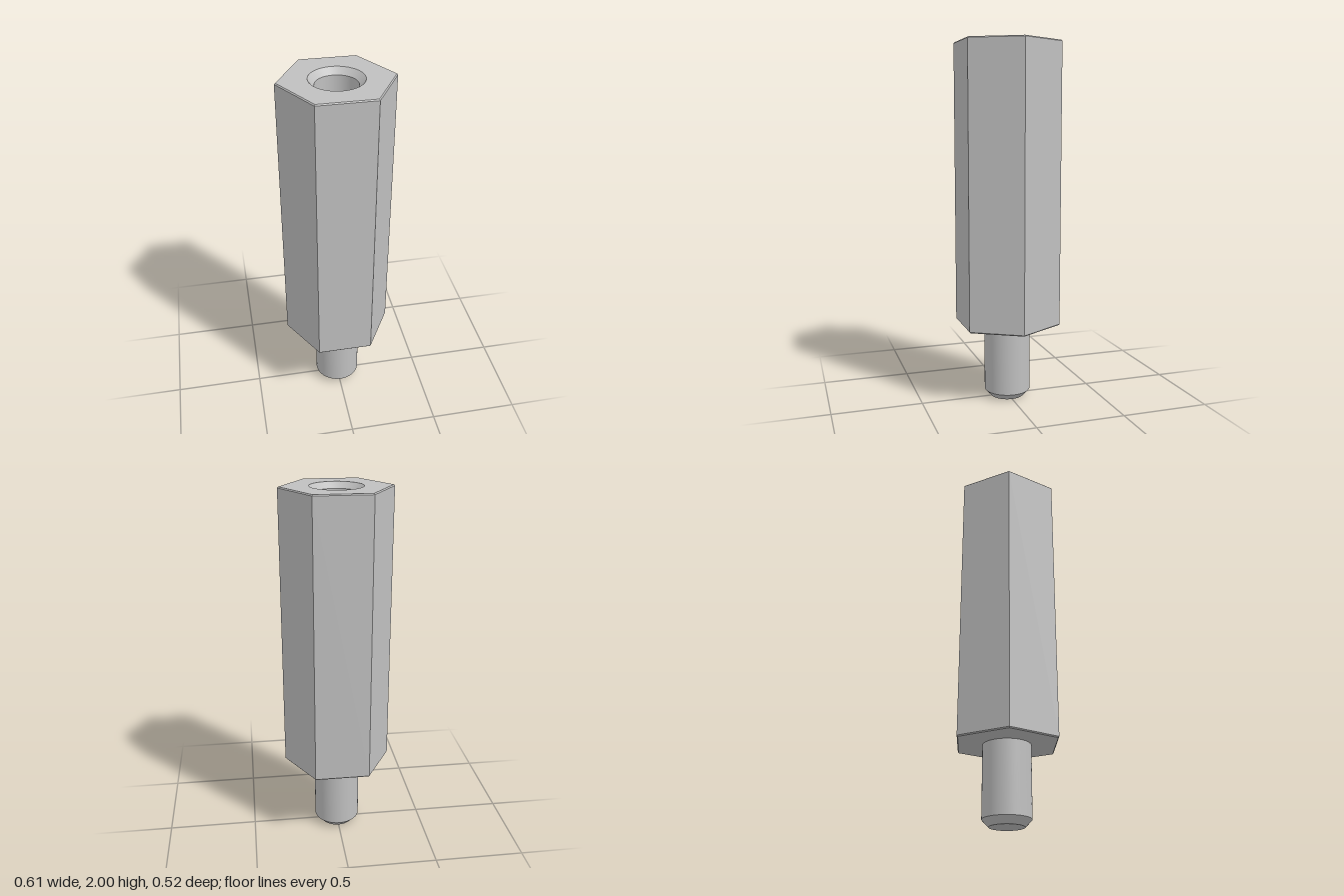
import * as THREE from 'three';
import { toCreasedNormals } from 'three/addons/utils/BufferGeometryUtils.js';

const SEGMENTS = 64;
const HEX_R = 0.303;      // corner radius of the hexagon
const BEVEL = 0.006;
const BASE_Y = 0.427;     // underside of the hexagonal body
const TOP_Y = 2;
const STUD_R = 0.13;
const BORE_R = 0.11;
const SINK_R = 0.142;     // countersink mouth
const BORE_FLOOR = 1.25;

// Revolve an [r, y] profile, keeping its edges sharp
function turned(profile, sides, start = 0) {
  const points = profile.map(([r, y]) => new THREE.Vector2(r, y));
  return toCreasedNormals(new THREE.LatheGeometry(points, sides, start), 0.35);
}

// Flat hexagon with a round hole, facing up or down
function hexFace(holeRadius, y, up) {
  const corners = [];
  for (let i = 0; i < 6; i++) {
    const a = (i * Math.PI) / 3;
    corners.push(new THREE.Vector2(Math.cos(a), Math.sin(a)).multiplyScalar(HEX_R - BEVEL));
  }
  const shape = new THREE.Shape(corners);
  shape.holes.push(new THREE.Path().absarc(0, 0, holeRadius, 0, Math.PI * 2, true));
  return new THREE.ShapeGeometry(shape, SEGMENTS)
    .rotateX(up ? -Math.PI / 2 : Math.PI / 2)
    .translate(0, y, 0);
}

export function createModel() {
  const group = new THREE.Group();
  group.name = 'hexStandoff';
  const metal = new THREE.MeshStandardMaterial({ color: 0xc0c0c0 });
  metal.name = 'grey metal';

  const add = (name, geometry) => {
    const mesh = new THREE.Mesh(geometry, metal);
    mesh.name = name;
    group.add(mesh);
  };

  // Six-sided body with a fine chamfer at both ends
  add('hexBody', turned([
    [HEX_R - BEVEL, BASE_Y],
    [HEX_R, BASE_Y + BEVEL],
    [HEX_R, TOP_Y - BEVEL],
    [HEX_R - BEVEL, TOP_Y],
  ], 6, Math.PI / 2));
  add('topFace', hexFace(SINK_R, TOP_Y, true));
  add('bottomFace', hexFace(STUD_R, BASE_Y, false));

  // Countersunk blind hole in the top
  add('bore', turned([
    [SINK_R, TOP_Y],
    [BORE_R, TOP_Y - 0.032],
    [BORE_R, BORE_FLOOR],
    [0, BORE_FLOOR],
  ], SEGMENTS));

  // Stud with a chamfered tip
  add('stud', turned([
    [0, 0],
    [0.094, 0],
    [STUD_R, 0.038],
    [STUD_R, BASE_Y],
  ], SEGMENTS));

  return group;
}
